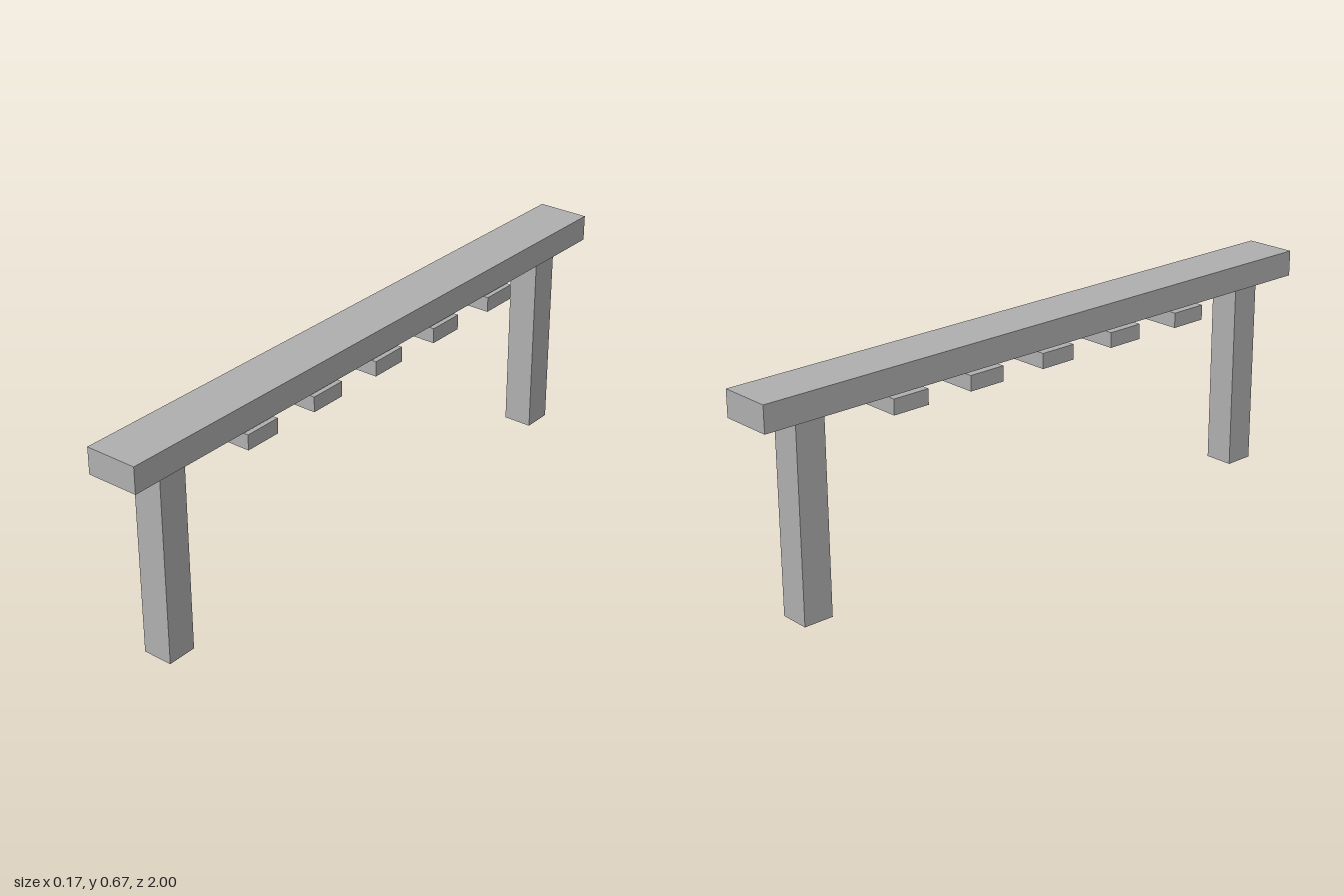
import * as THREE from 'three';

export function createModel() {
  const model = new THREE.Group();
  const grey = new THREE.MeshStandardMaterial({ color: 0xb0b0b0 });
  grey.name = 'plain grey';

  // Box spanning y0 to y1, centred on x = 0
  function addBox(name, width, y0, y1, depth, z) {
    const mesh = new THREE.Mesh(new THREE.BoxGeometry(width, y1 - y0, depth), grey);
    mesh.name = name;
    mesh.position.set(0, (y0 + y1) / 2, z);
    model.add(mesh);
  }

  // Long top beam
  addBox('topBeam', 0.16, 0.588, 0.667, 2, 0);

  // Square posts under each end
  addBox('frontPost', 0.092, 0, 0.588, 0.092, 0.835);
  addBox('backPost', 0.092, 0, 0.588, 0.092, -0.835);

  // Five evenly spaced blocks hanging just below the beam
  for (let i = -2; i <= 2; i++) {
    addBox('crossBlock' + (i + 3), 0.173, 0.535, 0.581, 0.118, i * 0.267);
  }

  return model;
}
